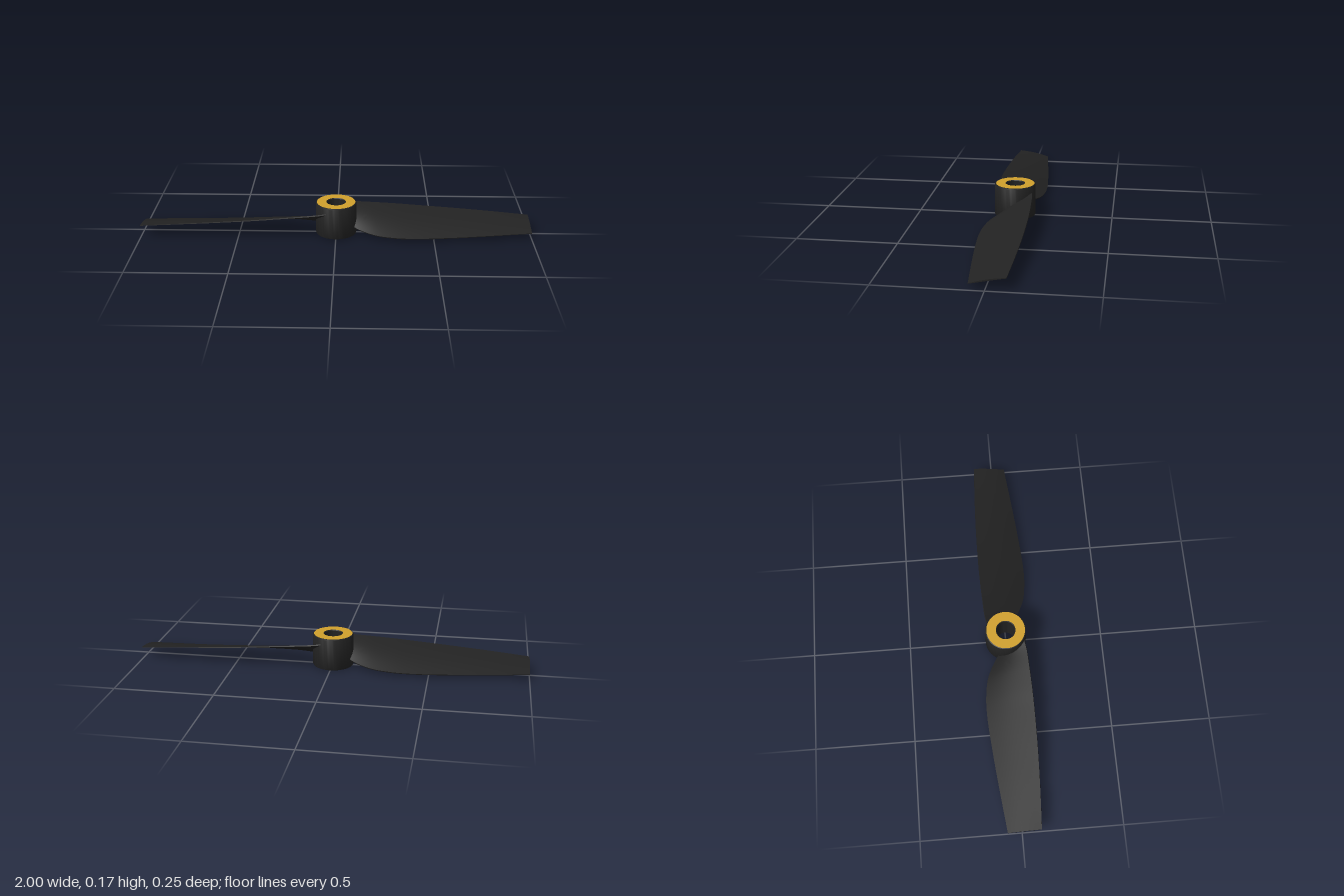
import * as THREE from 'three';
import { toCreasedNormals } from 'three/addons/utils/BufferGeometryUtils.js';

const HEIGHT = 0.168, R = 0.1045, BORE = 0.046, BEVEL = 0.006;

const curve = (pts) => new THREE.CatmullRomCurve3(pts.map((p) => new THREE.Vector3(...p)));

// Twisted blade lofted between its low leading edge and high trailing edge
function bladeGeometry() {
  const lead = curve([
    [0.05, 0.066, 0.005], [0.1, 0.042, 0.05], [0.2, 0.026, 0.104], [0.3, 0.02, 0.123],
    [0.4, 0.018, 0.126], [0.6, 0.02, 0.112], [0.8, 0.025, 0.092], [1, 0.031, 0.07],
  ]);
  const trail = curve([
    [0.05, 0.133, -0.092], [0.1, 0.129, -0.1], [0.2, 0.122, -0.106], [0.3, 0.115, -0.11],
    [0.4, 0.107, -0.112], [0.6, 0.093, -0.111], [0.8, 0.079, -0.105], [1, 0.064, -0.095],
  ]);
  const rows = 56, half = 12, n = 2 * (half + 1);
  const pos = [], index = [];
  for (let i = 0; i <= rows; i++) {
    const a = lead.getPoint(i / rows), b = trail.getPoint(i / rows);
    const chord = b.clone().sub(a);
    const up = new THREE.Vector3(0, -chord.z, chord.y).normalize();
    const thick = THREE.MathUtils.lerp(0.016, 0.007, a.x);
    // upper skin from lead to trail, then lower skin back
    for (let j = 0; j < n; j++) {
      const upper = j <= half;
      const u = upper ? j / half : (n - 1 - j) / half;
      const s = Math.sin(Math.PI * u);
      const h = (upper ? 1 : -1) * thick * (0.2 + 0.3 * s) + 0.003 * s;
      const p = a.clone().addScaledVector(chord, u).addScaledVector(up, h);
      pos.push(p.x, p.y, p.z);
    }
  }
  for (let i = 0; i < rows; i++) {
    for (let j = 0; j < n; j++) {
      const k = (j + 1) % n, p = i * n, q = p + n;
      index.push(p + j, q + j, q + k, p + j, q + k, p + k);
    }
  }
  // flat tip
  const tip = rows * n;
  for (let j = 0; j < half; j++) {
    const k = n - 1 - j;
    index.push(tip + j, tip + k, tip + j + 1, tip + j + 1, tip + k, tip + k - 1);
  }
  const g = new THREE.BufferGeometry();
  g.setAttribute('position', new THREE.Float32BufferAttribute(pos, 3));
  g.setIndex(index);
  return toCreasedNormals(g, 0.7);
}

export function createModel() {
  const model = new THREE.Group();
  const black = new THREE.MeshStandardMaterial({ color: 0x222222 });
  const gold = new THREE.MeshStandardMaterial({ color: 0xd0a02c });
  const add = (name, geometry, material) => {
    const mesh = new THREE.Mesh(geometry, material);
    mesh.name = name;
    model.add(mesh);
    return mesh;
  };
  const lathe = (pts) => toCreasedNormals(
    new THREE.LatheGeometry(pts.map((p) => new THREE.Vector2(...p)), 64), 0.5);

  // Hub wall and bore, both with bevelled rims
  const outer = R - BEVEL, inner = BORE + 0.004;
  add('hub', lathe([
    [outer, 0], [R - 0.002, 0.002], [R, BEVEL],
    [R, HEIGHT - BEVEL], [R - 0.002, HEIGHT - 0.002], [outer, HEIGHT],
  ]), black);
  add('bore', lathe([
    [inner, HEIGHT], [BORE, HEIGHT - 0.004], [BORE, 0.004], [inner, 0],
  ]), black);

  // Gold end faces
  const ring = () => new THREE.RingGeometry(inner, outer, 64);
  add('topFace', ring().rotateX(-Math.PI / 2), gold).position.y = HEIGHT;
  add('bottomFace', ring().rotateX(Math.PI / 2), gold);

  // Two blades, half a turn apart
  const blade = bladeGeometry();
  add('leftBlade', blade, black);
  add('rightBlade', blade, black).rotation.y = Math.PI;

  return model;
}
